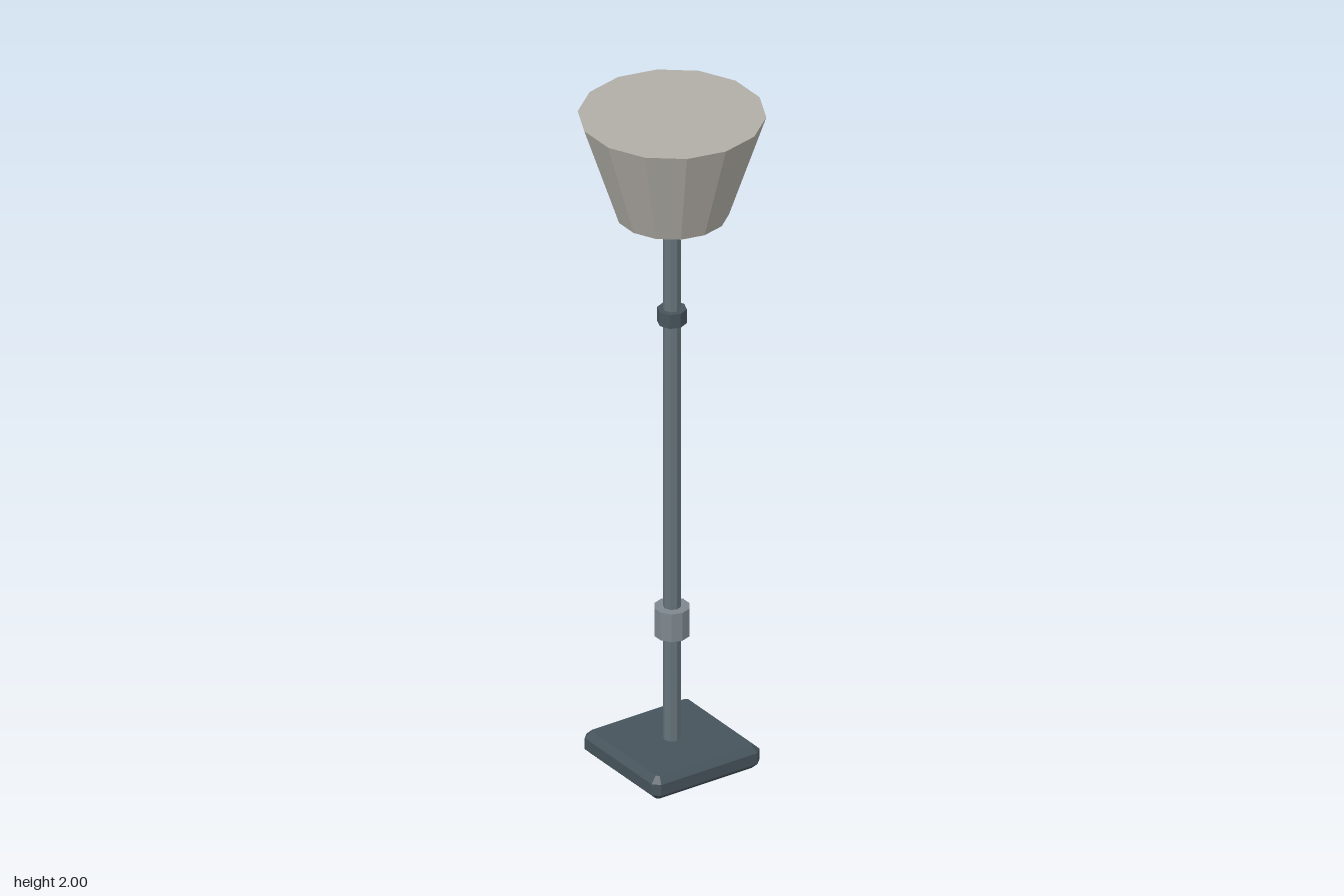
import * as THREE from 'three';

const mat = (color) => new THREE.MeshStandardMaterial({ color, flatShading: true });

export function createModel() {
  const lamp = new THREE.Group();
  lamp.name = 'floorLamp';
  const darkMetal = mat(0x46535b);
  const paleMetal = mat(0x7d878d);

  const add = (name, geometry, material, y = 0) => {
    const mesh = new THREE.Mesh(geometry, material);
    mesh.name = name;
    mesh.position.y = y;
    lamp.add(mesh);
  };
  // upright prism spanning y0 to y1
  const column = (name, rTop, rBottom, y0, y1, sides, material) =>
    add(name, new THREE.CylinderGeometry(rTop, rBottom, y1 - y0, sides), material, (y0 + y1) / 2);

  // square base plate with chamfered edges and clipped corners
  const h = 0.16, c = 0.008, bevel = 0.018, height = 0.07;
  const plate = new THREE.Shape([
    [h, -h + c], [h, h - c], [h - c, h], [-h + c, h],
    [-h, h - c], [-h, -h + c], [-h + c, -h], [h - c, -h],
  ].map(([x, y]) => new THREE.Vector2(x, y)));
  const base = new THREE.ExtrudeGeometry(plate, {
    depth: height - 2 * bevel, bevelEnabled: true,
    bevelSize: bevel, bevelThickness: bevel, bevelSegments: 1,
  });
  base.rotateX(-Math.PI / 2);
  add('base', base, darkMetal, bevel);

  // pole and its two collars
  column('pole', 0.025, 0.025, 0.05, 1.68, 8, mat(0x66727a));
  column('lowerCollar', 0.05, 0.05, 0.392, 0.478, 10, paleMetal);
  column('upperCollar', 0.041, 0.041, 1.357, 1.4, 8, darkMetal);

  // bulb peeking out beneath the closed, flared shade
  add('bulb', new THREE.SphereGeometry(0.1, 10, 6), mat(0xb8a27a), 1.735);
  column('shade', 0.257, 0.155, 1.695, 2, 14, mat(0xb0ada6));

  return lamp;
}
